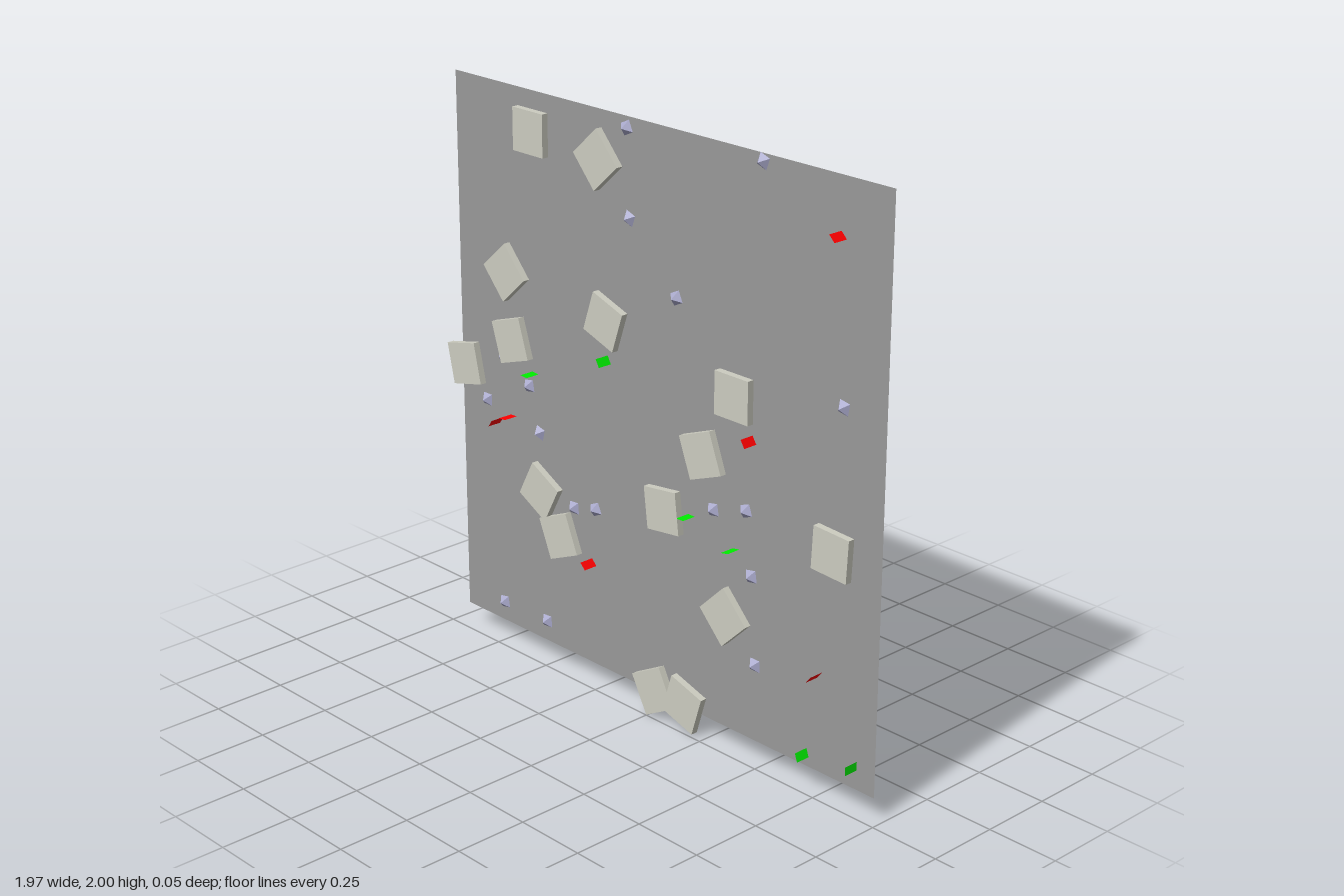
import * as THREE from 'three';

const BACK = -0.026;   // depth of the ground sheet
const DEG = Math.PI / 180;
const mat = (color, extra = {}) => new THREE.MeshStandardMaterial({ color, flatShading: true, ...extra });

// Stone slabs: x, y, roll in degrees
const SLABS = [
  [-0.553, 1.866, 0], [-0.235, 1.84, 42], [-0.685, 1.368, 42], [-0.204, 1.318, -19],
  [-0.661, 1.138, 18], [0.371, 1.22, 0], [-0.902, 0.995, 13], [0.238, 0.993, 21],
  [0.791, 0.839, -3], [0.066, 0.754, 7], [-0.527, 0.638, -28], [-0.431, 0.506, 23],
  [0.345, 0.479, -46], [0.027, 0.101, 28], [0.164, 0.103, -17],
];

// Small pyramid stones: x, y, roll
const STONES = [
  [-0.114, 1.962, 25], [0.468, 1.974, -20], [-0.103, 1.676, -20], [0.108, 1.469, 25],
  [0.81, 1.305, -10], [-0.59, 0.993, 10], [-0.807, 0.887, 0], [-0.542, 0.839, -15],
  [0.42, 0.858, 20], [0.278, 0.818, 10], [-0.373, 0.622, 5], [-0.267, 0.649, 25],
  [0.447, 0.646, 10], [0.468, 0.349, 0], [-0.738, 0.156, 10], [-0.516, 0.159, 5],
  [-0.717, 1.066, 15],
];

// Upright flakes: x, y, roll
const RED = [
  [0.791, 1.823, -45], [0.45, 1.1, -57], [-0.738, 0.83, 55],
  [-0.675, 0.864, 3], [-0.278, 0.456, -45], [0.743, 0.416, 52],
];
const GREEN = [
  [-0.199, 1.187, -60], [-0.56, 1.046, -5], [0.18, 0.768, 0],
  [0.378, 0.717, 10], [0.701, 0.133, -70], [0.905, 0.167, 90],
];

function scatter(name, list, geometry, material) {
  const group = new THREE.Group();
  group.name = name + 's';
  for (const [x, y, roll] of list) {
    const mesh = new THREE.Mesh(geometry, material);
    mesh.name = name;
    mesh.position.set(x, y, 0);
    mesh.rotation.z = roll * DEG;
    group.add(mesh);
  }
  return group;
}

export function createModel() {
  const model = new THREE.Group();
  model.name = 'scatteredGround';

  // Ground sheet
  const ground = new THREE.Mesh(
    new THREE.PlaneGeometry(1.913, 1.913),
    mat(0x999999, { side: THREE.DoubleSide }));
  ground.name = 'ground';
  ground.position.set(0.0225, 1.0425, BACK + 0.0005);
  model.add(ground);

  // Square slabs lying on the sheet
  const slab = new THREE.BoxGeometry(0.143, 0.143, 0.024).translate(0, 0, BACK + 0.012);
  model.add(scatter('slab', SLABS, slab, mat(0xccccc0)));

  // Four-sided pyramids with their points facing forward
  const stone = new THREE.ConeGeometry(0.029, 0.024, 4)
    .rotateX(Math.PI / 2).rotateZ(Math.PI / 4).translate(0, 0, BACK + 0.012);
  model.add(scatter('stone', STONES, stone, mat(0xaaaacc)));

  // Thin flakes standing out of the sheet
  const flake = new THREE.PlaneGeometry(0.03, 0.052).rotateX(-Math.PI / 2);
  model.add(scatter('redFlake', RED, flake, mat(0xff0000, { side: THREE.DoubleSide })));
  model.add(scatter('greenFlake', GREEN, flake, mat(0x00ee00, { side: THREE.DoubleSide })));

  return model;
}
